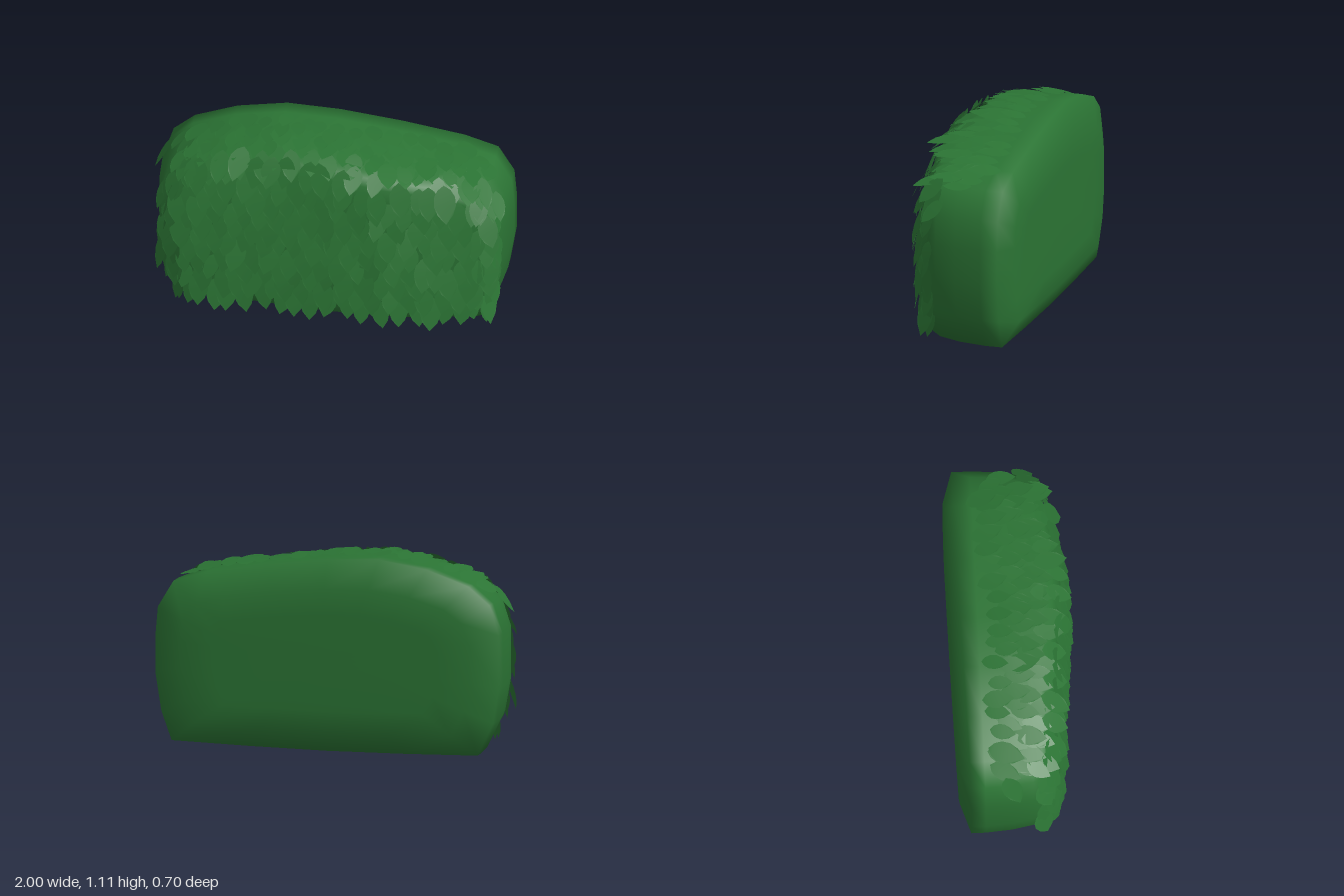
import * as THREE from 'three';
import { mergeGeometries } from 'three/addons/utils/BufferGeometryUtils.js';

const green = new THREE.MeshStandardMaterial({ color: 0x2b7434, side: THREE.DoubleSide });
green.name = 'hedge green';

// seeded random number in -1..1
let seed = 7;
function rnd() {
  seed = (seed * 16807) % 2147483647;
  return (seed / 2147483647) * 2 - 1;
}

// widest outline of the bush, counter-clockwise as seen from the front
const outline = [
  [-0.87, 0.015], [-0.45, 0.005], [0, 0], [0.45, 0.005], [0.9, 0.015], [0.96, 0.18], [0.995, 0.4], [0.995, 0.6],
  [0.98, 0.77], [0.89, 0.92], [0.7, 0.98], [0.35, 1.04], [0, 1.085], [-0.3, 1.1], [-0.58, 1.055],
  [-0.82, 0.97], [-0.94, 0.87], [-0.995, 0.7], [-0.995, 0.4], [-0.96, 0.2],
];

// cross-sections from back to front: [depth, inset]
const sections = [
  [-0.355, 0.95], [-0.355, 0.6], [-0.354, 0.35], [-0.35, 0.16], [-0.295, 0], [-0.2, 0.0], [-0.05, 0.01],
  [0.07, 0.03], [0.14, 0.055], [0.185, 0.085], [0.215, 0.14], [0.228, 0.25], [0.235, 0.42], [0.238, 0.65], [0.238, 0.95],
];

// rounded body lofted through the cross-sections
function coreGeometry() {
  const pos = [], index = [], n = outline.length;
  for (const [z, inset] of sections) {
    for (const [ox, oy] of outline) {
      const x = ox * (1 - inset);
      // the back edge is bevelled more along the top
      const bevel = z < -0.3 && oy > 0.6 ? 0.6 * inset * (1 - inset) : 0;
      const y = 0.53 + (oy - 0.53) * (1 - inset * (1.45 - 0.45 * inset) - bevel * (1 - inset));
      const swell = z > 0.1 ? 0.05 * Math.exp(-(((x - 0.25) / 0.33) ** 2)) - 0.035 * x * x : 0;
      const skew = z < -0.25 ? 0.005 * x * x - 0.0115 * x : 0;
      pos.push(x, y, z + swell + skew);
    }
  }
  for (let s = 0; s < sections.length - 1; s++) {
    for (let i = 0; i < n; i++) {
      const a = s * n + i, b = s * n + ((i + 1) % n);
      index.push(a, b, b + n, a, b + n, a + n);
    }
  }
  // close back and front
  const last = (sections.length - 1) * n;
  for (let i = 1; i < n - 1; i++) {
    index.push(0, i + 1, i, last, last + i, last + i + 1);
  }
  const g = new THREE.BufferGeometry();
  g.setAttribute('position', new THREE.Float32BufferAttribute(pos, 3));
  g.setIndex(index);
  g.computeVertexNormals();
  return g;
}

// pointed oval leaf, stem at the origin, tip along +y, outer side +z
function leafGeometry() {
  const shape = new THREE.Shape();
  shape.moveTo(0, 0);
  shape.bezierCurveTo(0.35, 0.15, 0.45, 0.6, 0, 1);
  shape.bezierCurveTo(-0.45, 0.6, -0.35, 0.15, 0, 0);
  const g = new THREE.ShapeGeometry(shape, 5);
  g.deleteAttribute('uv');
  const p = g.attributes.position;
  for (let i = 0; i < p.count; i++) {
    const x = p.getX(i), y = p.getY(i);
    p.setZ(i, 0.2 * y * (1 - y) - 0.3 * x * x);
  }
  g.computeVertexNormals();
  return g;
}

export function createModel() {
  const group = new THREE.Group();
  group.name = 'hedge';
  const core = new THREE.Mesh(coreGeometry(), green);
  core.name = 'hedgeBody';
  group.add(core);
  core.updateMatrixWorld(true);

  const leaf = leafGeometry();
  const ray = new THREE.Raycaster();

  // find the body's surface from a point and lay a drooping leaf on it
  function addLeaf(list, from, dir, size, spread) {
    ray.set(from, dir);
    const hit = ray.intersectObject(core)[0];
    if (!hit) return;
    const normal = hit.face.normal.clone();
    // leaves near the ground hang straight instead of curling under
    normal.y = Math.max(normal.y, -0.05);
    normal.normalize();
    const down = new THREE.Vector3(rnd() * 0.24, -1, Math.max(0, normal.y) * 1.2);
    down.addScaledVector(normal, -down.dot(normal)).normalize();
    const length = size * (1 + rnd() * 0.18);
    const lift = spread + rnd() * 0.08;
    const along = down.clone().addScaledVector(normal, lift).normalize();
    const side = new THREE.Vector3().crossVectors(along, normal).normalize();
    const out = new THREE.Vector3().crossVectors(side, along);
    const base = hit.point.clone().addScaledVector(down, -length * 0.5).addScaledVector(normal, 0.002);
    const m = new THREE.Matrix4().makeBasis(side, along, out);
    m.scale(new THREE.Vector3(length * 0.95, length, length * 0.8)).setPosition(base);
    list.push(leaf.clone().applyMatrix4(m));
  }

  function addFoliage(name, list) {
    const mesh = new THREE.Mesh(mergeGeometries(list), green);
    mesh.name = name;
    group.add(mesh);
  }

  // front leaves in staggered rows
  const front = [];
  const back = new THREE.Vector3(0, 0, -1);
  for (let row = 0; row < 10; row++) {
    for (let col = 0; col < 20; col++) {
      const x = -0.92 + (col + (row % 2) * 0.5) * 0.0945 + rnd() * 0.022;
      const y = 0.14 + row * 0.092 + rnd() * 0.02;
      addLeaf(front, new THREE.Vector3(x, y, 2), back, 0.19, 0.25);
    }
  }
  addFoliage('frontLeaves', front);

  // top leaves, tips towards the front
  const top = [];
  const downwards = new THREE.Vector3(0, -1, 0);
  for (let row = 0; row < 5; row++) {
    for (let col = 0; col < 18; col++) {
      const x = -0.87 + (col + (row % 2) * 0.5) * 0.099 + rnd() * 0.025;
      const z = -0.1 + row * 0.07 + rnd() * 0.025;
      addLeaf(top, new THREE.Vector3(x, 3, z), downwards, 0.17, 0.12);
    }
  }
  addFoliage('topLeaves', top);

  // leaves wrapping the front corners of both ends
  for (const s of [1, -1]) {
    const end = [];
    for (let row = 0; row < 10; row++) {
      for (let col = 0; col < 2; col++) {
        const y = 0.13 + row * 0.083 + rnd() * 0.02;
        const z = 0.13 + col * 0.045 + rnd() * 0.015;
        addLeaf(end, new THREE.Vector3(s * 3, y, z), new THREE.Vector3(-s, 0, 0), 0.16, 0.17);
      }
    }
    addFoliage(s > 0 ? 'leftEndLeaves' : 'rightEndLeaves', end);
  }
  return group;
}
